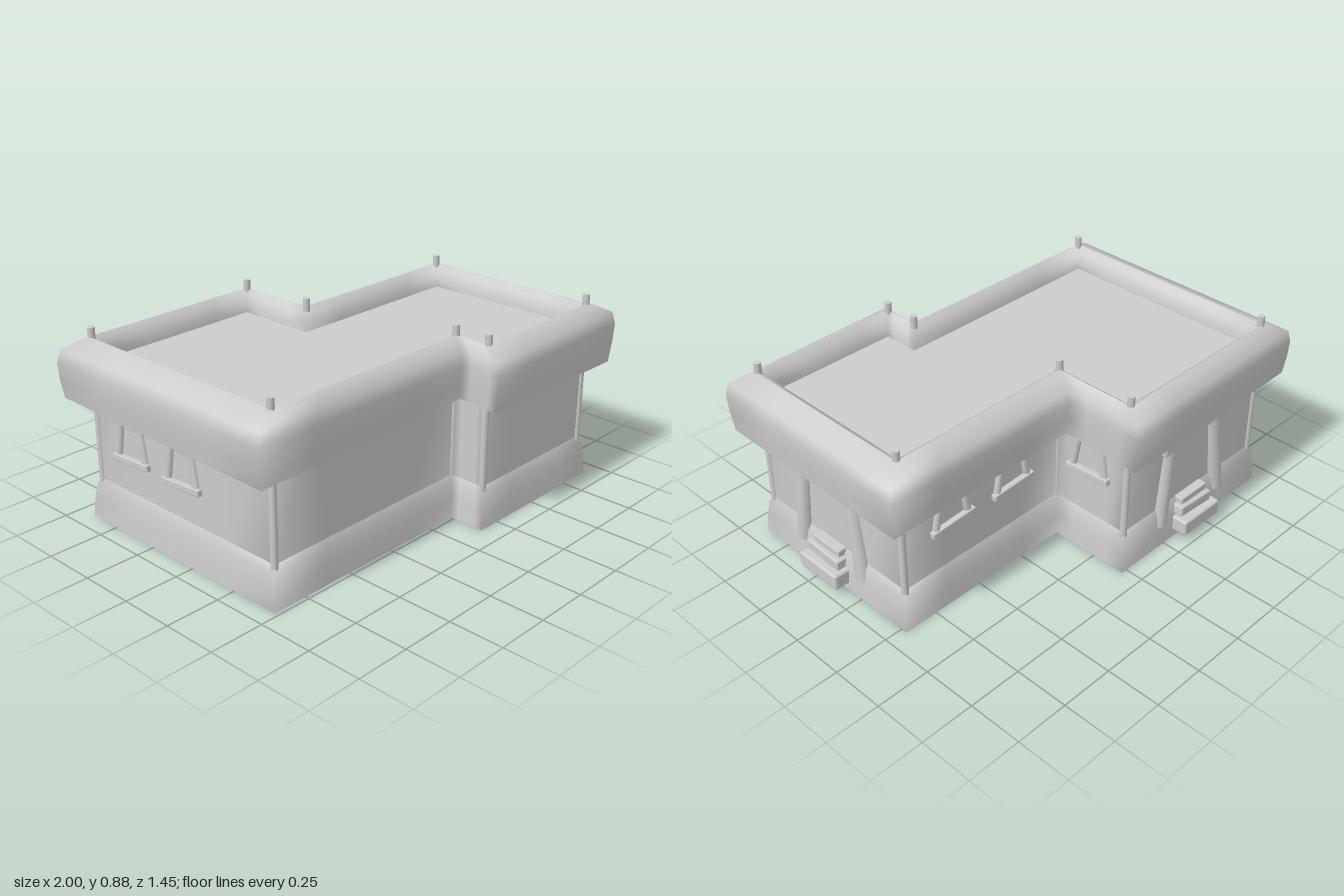
import * as THREE from 'three';
import { RoundedBoxGeometry } from 'three/addons/geometries/RoundedBoxGeometry.js';

const grey = new THREE.MeshStandardMaterial({ color: 0xcccccc });
const greyThin = new THREE.MeshStandardMaterial({ color: 0xcccccc, side: THREE.DoubleSide });

// Plan corners: x, z, outward signs, roof overhang in x and z, eave height
const corners = [
  [-0.885, -0.63, -1, -1, 0.115, 0.075, 0.57],
  [0.0, -0.635, 1, -1, 0.05, 0.085, 0.565],
  [0.0, -0.25, 1, -1, 0.05, 0.1, 0.575],
  [0.885, -0.25, 1, -1, 0.11, 0.09, 0.555],
  [0.885, 0.625, 1, 1, 0.105, 0.08, 0.55],
  [0.17, 0.625, -1, 1, 0.05, 0.095, 0.565],
  [0.17, 0.455, -1, 1, 0.05, 0.075, 0.578],
  [-0.885, 0.455, -1, 1, 0.115, 0.055, 0.555],
];
const SPLIT = 4;

// Corner moved outward by a fixed distance, or by a share of the overhang
const moved = ([x, z, sx, sz], d, y) => new THREE.Vector3(x + sx * d, y, z + sz * d);
const overhung = ([x, z, sx, sz, ox, oz, eave], k, y) =>
  new THREE.Vector3(x + sx * ox * k, y ?? eave, z + sz * oz * k);

// Skin between stacked rings that follow the plan; rows run bottom to top
function loft(rows, place) {
  const pos = [], index = [], n = corners.length * SPLIT;
  for (const [d, y] of rows) {
    corners.forEach((c, i) => {
      const a = place(c, d, y);
      const b = place(corners[(i + 1) % corners.length], d, y);
      for (let s = 0; s < SPLIT; s++) pos.push(...a.clone().lerp(b, s / SPLIT).toArray());
    });
  }
  for (let r = 0; r < rows.length - 1; r++) {
    for (let i = 0; i < n; i++) {
      const a = r * n + i, b = r * n + (i + 1) % n;
      index.push(a, a + n, b, b, a + n, b + n);
    }
  }
  const g = new THREE.BufferGeometry();
  g.setAttribute('position', new THREE.Float32BufferAttribute(pos, 3));
  g.setIndex(index);
  g.computeVertexNormals();
  return g;
}

function add(parent, name, geometry, material = grey) {
  const m = new THREE.Mesh(geometry, material);
  m.name = name;
  parent.add(m);
  return m;
}

// Round pole between two points
function pole(parent, name, from, to, radius) {
  const a = new THREE.Vector3(...from), b = new THREE.Vector3(...to);
  const m = add(parent, name, new THREE.CylinderGeometry(radius, radius, a.distanceTo(b), 12));
  m.position.copy(a).add(b).multiplyScalar(0.5);
  m.quaternion.setFromUnitVectors(new THREE.Vector3(0, 1, 0), b.sub(a).normalize());
  return m;
}

function block(parent, name, size, at, tilt = 0) {
  const m = add(parent, name, new RoundedBoxGeometry(...size, 2, Math.min(...size) * 0.16));
  m.position.set(...at);
  m.rotation.z = tilt;
  return m;
}

// Leaning door frame with three steps; local +z points out of the wall
function doorway() {
  const g = new THREE.Group();
  g.name = 'doorway';
  block(g, 'doorLintel', [0.43, 0.072, 0.065], [-0.003, 0.525, -0.005], 0.105);
  pole(g, 'doorLeg', [-0.2, 0.1, 0], [-0.158, 0.51, -0.012], 0.037);
  pole(g, 'doorLeg', [0.193, 0.1, 0], [0.135, 0.53, -0.012], 0.037);
  block(g, 'lowerStep', [0.24, 0.075, 0.11], [-0.005, 0.07, 0.04]);
  block(g, 'middleStep', [0.205, 0.05, 0.1], [-0.01, 0.134, 0.01], -0.06);
  block(g, 'upperStep', [0.17, 0.034, 0.08], [-0.005, 0.175, 0.0]);
  return g;
}

// Window frame that narrows toward the top
function windowFrame() {
  const g = new THREE.Group();
  g.name = 'windowFrame';
  block(g, 'windowSill', [0.23, 0.03, 0.045], [0, 0.402, 0], 0.06);
  block(g, 'windowLintel', [0.19, 0.032, 0.045], [0, 0.572, 0], -0.04);
  for (const s of [-1, 1]) pole(g, 'windowPost', [s * 0.088, 0.405, 0], [s * 0.06, 0.57, 0], 0.017);
  return g;
}

export function createModel() {
  const model = new THREE.Group();
  model.name = 'flatRoofHouse';

  // Flared footing and upright walls, open underneath
  add(model, 'footing', loft([[0.028, 0], [0.022, 0.09], [0.012, 0.155], [-0.003, 0.187]], moved), greyThin);
  add(model, 'walls', loft([[-0.003, 0.187], [-0.003, 0.74]], moved), greyThin);

  // Bulging parapet, its inner lip and the sunken roof
  add(model, 'parapet', loft([[0.86, undefined], [0.96, 0.65], [1, 0.73], [0.88, 0.785],
    [0.25, 0.822], [0, 0.832]], overhung), greyThin);
  add(model, 'parapetLip', loft([[-0.055, 0.74], [-0.05, 0.775], [-0.03, 0.81], [0, 0.832]],
    (c, d, y) => moved(c, d, y)).scale(1, 1, 1), greyThin);
  const deck = new THREE.Shape(corners.map((c) => {
    const p = moved(c, -0.055, 0);
    return new THREE.Vector2(p.x, -p.z);
  }));
  add(model, 'roofDeck', new THREE.ShapeGeometry(deck).rotateX(-Math.PI / 2).translate(0, 0.74, 0), greyThin);

  // Corner posts rising through the parapet
  for (const c of corners) {
    const p = moved(c, -0.008, 0);
    pole(model, 'cornerPost', [p.x, 0.02, p.z], [p.x, 0.875, p.z], 0.016);
  }

  // Openings: builder, x, y, z, turn
  const H = Math.PI / 2;
  const openings = [
    [doorway, 0.885, 0, 0.2, H],
    [doorway, -0.44, 0, -0.632, 2 * H],
    [windowFrame, 0, 0, -0.43, H],
    [windowFrame, 0.62, -0.01, -0.25, 2 * H],
    [windowFrame, 0.28, -0.01, -0.25, 2 * H],
    [windowFrame, -0.882, -0.06, -0.39, -H],
    [windowFrame, -0.882, -0.06, -0.07, -H],
  ];
  for (const [build, x, y, z, turn] of openings) {
    const g = build();
    g.position.set(x, y, z);
    g.rotation.y = turn;
    model.add(g);
  }
  return model;
}
